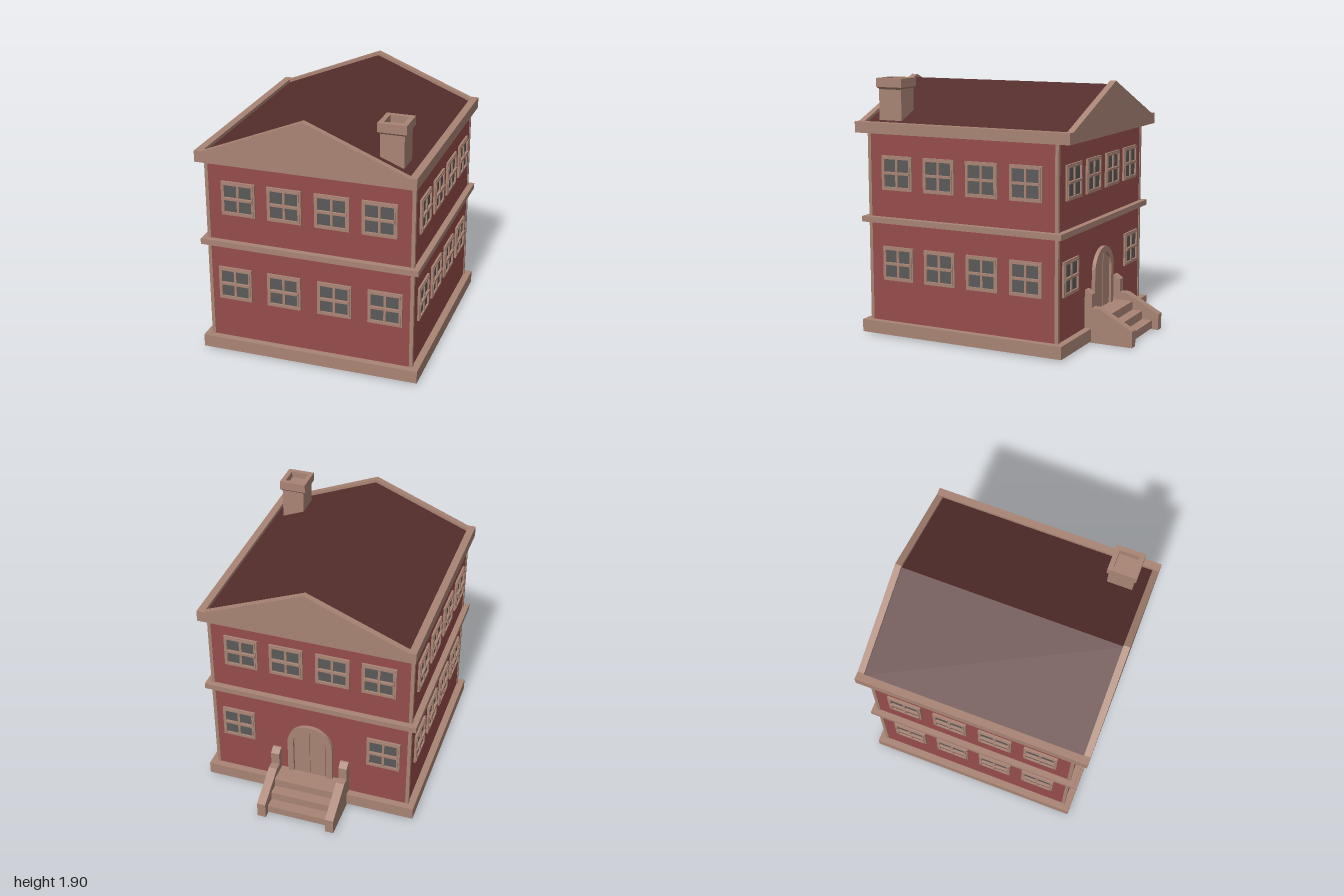
import * as THREE from 'three';

const mat = (color) => new THREE.MeshStandardMaterial({ color });
const BRICK = mat(0x964d4a), TRIM = mat(0xa88474), ROOF = mat(0x552e2c), GLASS = mat(0x5a5a5a);
const CZ = 0.137; // z of the middle of the house
const HALF = 0.765; // half width of the square walls

function add(parent, name, geo, material) {
  const mesh = new THREE.Mesh(geo, material);
  mesh.name = name;
  parent.add(mesh);
  return mesh;
}

// Box given by its extents on each axis
function block(parent, name, material, [x0, x1], [y0, y1], [z0, z1]) {
  const mesh = add(parent, name, new THREE.BoxGeometry(x1 - x0, y1 - y0, z1 - z0), material);
  mesh.position.set((x0 + x1) / 2, (y0 + y1) / 2, (z0 + z1) / 2);
  return mesh;
}

const polygon = (pts) => new THREE.Shape(pts.map(([x, y]) => new THREE.Vector2(x, y)));
const extrude = (shape, depth) =>
  new THREE.ExtrudeGeometry(shape, { depth, bevelEnabled: false, curveSegments: 10 });
const rect = (w, h) => [[-w, -h], [w, -h], [w, h], [-w, h]];

// Flat frame with a rectangular opening, in the xy plane
function frame(w, h, border, depth) {
  const shape = polygon(rect(w, h));
  shape.holes.push(polygon(rect(w - border, h - border).reverse()));
  return extrude(shape, depth);
}

// Arched outline standing on y = y0, semicircular on top
function arch(half, y0, spring) {
  const s = new THREE.Shape();
  s.moveTo(-half, y0);
  s.lineTo(half, y0);
  s.lineTo(half, spring);
  s.absarc(0, spring, half, 0, Math.PI, false);
  s.lineTo(-half, y0);
  return s;
}

function makeWindow(x, y) {
  const g = new THREE.Group();
  g.name = 'window';
  g.position.set(x, y, 0);
  add(g, 'windowFrame', frame(0.127, 0.127, 0.015, 0.016), TRIM);
  add(g, 'windowInnerFrame', frame(0.115, 0.115, 0.013, 0.021), TRIM);
  block(g, 'windowPane', GLASS, [-0.11, 0.11], [-0.11, 0.11], [-0.005, 0.008]);
  block(g, 'verticalBar', TRIM, [-0.009, 0.009], [-0.11, 0.11], [0, 0.019]);
  block(g, 'horizontalBar', TRIM, [-0.11, 0.11], [-0.009, 0.009], [0, 0.027]);
  return g;
}

function makeDoor() {
  const g = new THREE.Group();
  g.name = 'door';
  const surround = arch(0.175, 0.1, 0.485);
  surround.holes.push(arch(0.13, 0.1, 0.485));
  add(g, 'doorSurround', extrude(surround, 0.028), TRIM);
  // Two leaves, each half of the arch, with a narrow gap between them
  for (const s of [-1, 1]) {
    const leaf = new THREE.Shape();
    leaf.moveTo(s * 0.005, 0.1);
    leaf.lineTo(s * 0.12, 0.1);
    leaf.lineTo(s * 0.12, 0.485);
    leaf.absarc(0, 0.485, 0.12, s > 0 ? 0 : Math.PI, Math.PI / 2 - s * 0.04, s < 0);
    leaf.lineTo(s * 0.005, 0.1);
    add(g, 'doorLeaf', extrude(leaf, 0.014), TRIM);
  }
  add(g, 'doorBack', extrude(arch(0.135, 0.1, 0.485), 0.005), TRIM);
  return g;
}

// One storey wall face: windows (and door) on a plane turned to a side
function makeFace(name, angle, rows, door) {
  const g = new THREE.Group();
  g.name = name;
  const wall = new THREE.Group();
  wall.position.z = HALF;
  for (const [y, xs] of rows) for (const x of xs) wall.add(makeWindow(x, y));
  if (door) wall.add(makeDoor());
  g.add(wall);
  g.rotation.y = angle;
  g.position.z = CZ;
  return g;
}

function makeSteps() {
  const g = new THREE.Group();
  g.name = 'entranceSteps';
  [[0.2, -0.79], [0.135, -0.87], [0.07, -0.95]].forEach(([top, z]) =>
    block(g, 'step', TRIM, [-0.24, 0.24], [0.01, top], [z, -0.6]));
  // Sloping side walls with a short post at the house end; profile is (-z, y)
  const profile = polygon([[0.575, 0], [1, 0], [1, 0.12], [0.74, 0.26], [0.685, 0.26],
    [0.685, 0.36], [0.64, 0.39], [0.625, 0.39], [0.625, 0.1], [0.575, 0.1]]);
  for (const x of [-0.3, 0.235]) {
    const side = add(g, 'stepSideWall', extrude(profile, 0.065), TRIM);
    side.rotation.y = Math.PI / 2;
    side.position.x = x;
  }
  return g;
}

function makeChimney() {
  const g = new THREE.Group();
  g.name = 'chimney';
  g.position.set(0.587, 0, 0.772);
  block(g, 'chimneyShaft', TRIM, [-0.085, 0.085], [1.55, 1.85], [-0.095, 0.095]);
  // Flared collar under the cap
  const collar = add(g, 'chimneyCollar',
    new THREE.CylinderGeometry(0.102 * Math.SQRT2, 0.085 * Math.SQRT2, 0.018, 4, 1).rotateY(Math.PI / 4).toNonIndexed(), TRIM);
  collar.geometry.computeVertexNormals();
  collar.scale.z = 1.07;
  collar.position.y = 1.827;
  const cap = add(g, 'chimneyCap', frame(0.102, 0.108, 0.036, 0.065).rotateX(-Math.PI / 2), TRIM);
  cap.position.y = 1.835;
  return g;
}

export function createModel() {
  const house = new THREE.Group();
  house.name = 'house';

  // Walls and corner posts
  block(house, 'walls', BRICK, [-HALF, HALF], [0.03, 1.53], [CZ - HALF, CZ + HALF]);
  for (const sx of [-1, 1]) for (const sz of [-1, 1]) {
    const x = sx * 0.758, z = CZ + sz * 0.758;
    block(house, 'cornerPost', TRIM, [x - 0.013, x + 0.013], [0.1, 1.51], [z - 0.013, z + 0.013]);
  }

  // Plinth ring, dark floor and band between the storeys
  const plinth = add(house, 'plinth', frame(0.818, 0.818, 0.035, 0.094).rotateX(-Math.PI / 2), TRIM);
  plinth.position.set(0, 0.011, CZ);
  block(house, 'floor', ROOF, [-0.79, 0.79], [0.015, 0.06], [CZ - 0.79, CZ + 0.79]);
  block(house, 'plinthTop', TRIM, [-0.8, 0.8], [0.07, 0.104], [CZ - 0.8, CZ + 0.8]);
  block(house, 'storeyBand', TRIM, [-0.81, 0.81], [0.848, 0.89], [CZ - 0.81, CZ + 0.81]);

  // Gables at both ends, eaves along the sides, roof between them
  const gable = polygon([[-0.8, 1.505], [0.8, 1.505], [0.8, 1.587], [0.74, 1.587],
    [0, 1.887], [-0.74, 1.587], [-0.8, 1.587]]);
  for (const z of [-0.73, 0.952]) add(house, 'gable', extrude(gable, 0.048), TRIM).position.z = z;
  for (const s of [-1, 1]) {
    block(house, 'eaves', TRIM, s > 0 ? [0.745, 0.8] : [-0.8, -0.745], [1.505, 1.587], [-0.7, 0.97]);
  }
  block(house, 'soffit', TRIM, [-0.76, 0.76], [1.506, 1.53], [-0.7, 0.97]);
  const roof = polygon([[-0.75, 1.515], [0.75, 1.515], [0.75, 1.56], [0, 1.862], [-0.75, 1.56]]);
  add(house, 'roof', extrude(roof, 1.66), ROOF).position.z = -0.695;
  house.add(makeChimney());

  // Windows on all four faces, door and steps at the back
  const upper = [-0.52, -0.175, 0.175, 0.52], lower = [-0.565, -0.19, 0.19, 0.565];
  const side = [-0.523, -0.174, 0.174, 0.523];
  house.add(makeFace('frontFace', 0, [[1.22, upper], [0.545, lower]]));
  house.add(makeFace('leftFace', Math.PI / 2, [[1.22, side], [0.545, side]]));
  house.add(makeFace('rightFace', -Math.PI / 2, [[1.22, side], [0.545, side]]));
  house.add(makeFace('backFace', Math.PI, [[1.22, upper], [0.545, [-0.565, 0.565]]], true));
  house.add(makeSteps());
  return house;
}
